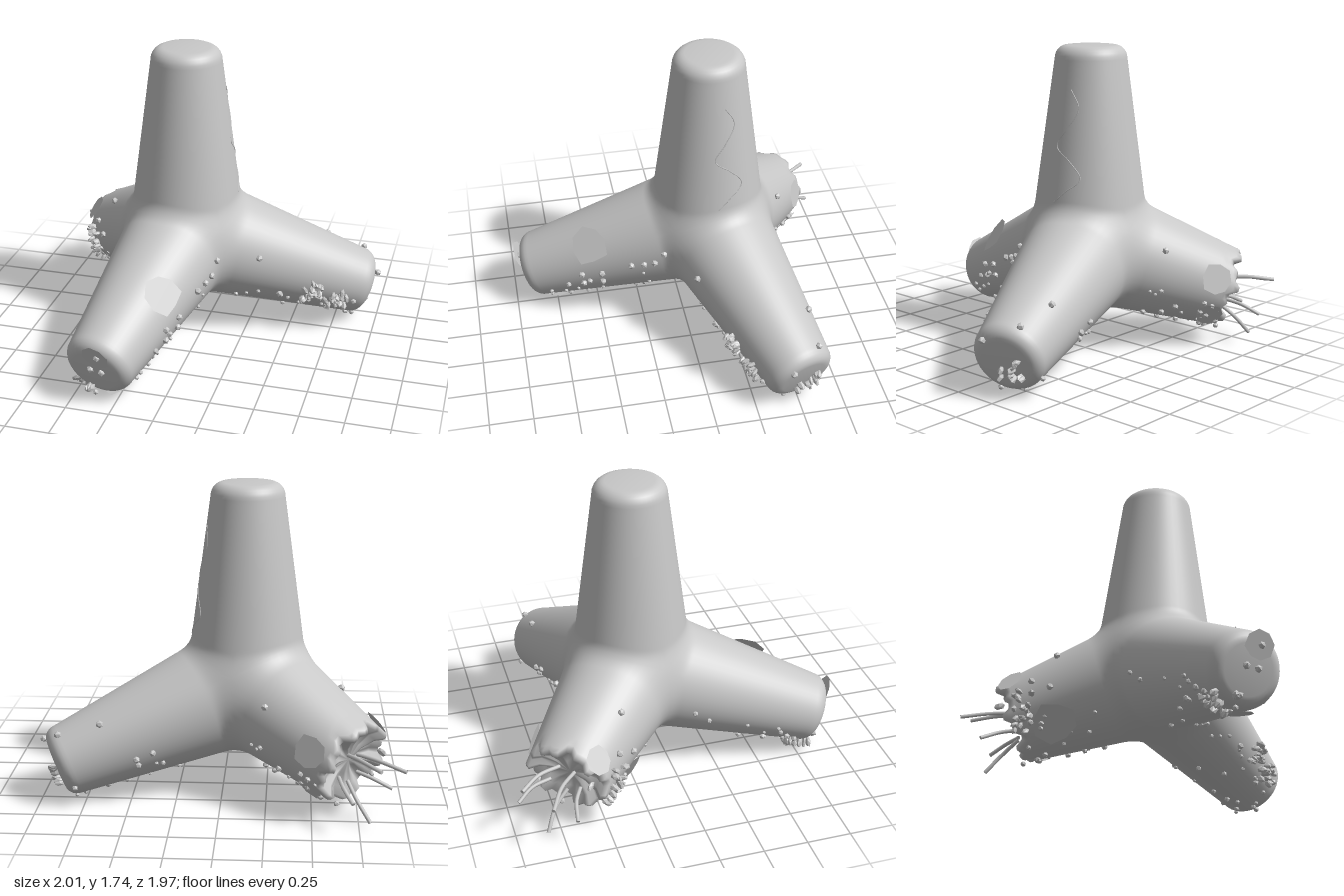
import * as THREE from 'three';
import { mergeGeometries, mergeVertices } from 'three/addons/utils/BufferGeometryUtils.js';

const V = (x, y, z) => new THREE.Vector3(x, y, z);
const CENTER = V(-0.13, 0.6, -0.168);
const SEG = 48, BLEND = 0.055;

let seed = 7;
const rand = () => (seed = (seed * 16807) % 2147483647) / 2147483647;
const spread = (a) => (rand() * 2 - 1) * a;

// Four tapering arms at tetrahedral angles; the last one is snapped off
const legDir = (deg) => {
  const t = THREE.MathUtils.degToRad(deg), h = Math.sqrt(8) / 3;
  return V(h * Math.cos(t), -1 / 3, h * Math.sin(t));
};
const arms = [
  { dir: V(0, 1, 0), len: 1.145 },
  { dir: legDir(101.8), len: 1.165 },
  { dir: legDir(-18.2), len: 1.17 },
  { dir: legDir(221.8), len: 0.86, broken: true },
];

// Signed distance to the smoothly blended arms (p relative to the centre)
function field(p) {
  let d = 10;
  for (const { dir, len } of arms) {
    const s = p.dot(dir);
    const perp = Math.sqrt(Math.max(p.lengthSq() - s * s, 0));
    const c = s < 0 ? p.length() - 0.35 : Math.max(perp - 0.35 + 0.135 * s, s - len);
    const h = Math.max(BLEND - Math.abs(c - d), 0) / BLEND;
    d = Math.min(c, d) - h * h * BLEND / 4;
  }
  return d;
}

function normalAt(p) {
  const e = 0.002, g = (v) => field(p.clone().add(v)) - field(p.clone().sub(v));
  return V(g(V(e, 0, 0)), g(V(0, e, 0)), g(V(0, 0, e))).normalize();
}

// Nearest surface point and its normal
function snap(x, y, z) {
  const p = V(x, y, z).sub(CENTER);
  for (let i = 0; i < 12; i++) p.addScaledVector(normalAt(p), -field(p) * 0.8);
  return { point: p.clone().add(CENTER), normal: normalAt(p) };
}

function armGeometry(arm) {
  const { dir: a, broken } = arm, others = arms.filter((o) => o !== arm);
  const U = others[0].dir.clone().addScaledVector(a, 1 / 3).normalize();
  const W = a.clone().cross(U);
  const bevel = broken ? 0.03 : 0.075, end = arm.len - bevel;
  const rings = [], N = 36;
  const radial = (j) => {
    const f = (j / SEG) * Math.PI * 2;
    return U.clone().multiplyScalar(Math.cos(f)).addScaledVector(W, Math.sin(f));
  };
  const jag = (j) => 0.025 * Math.sin(j * Math.PI / 4) + 0.02 * Math.sin(j * Math.PI * 7 / 12 + 1);
  // Side rings, starting on the seam shared with the neighbouring arms
  for (let i = 0; i <= N; i++) {
    const s = (i / N) * end, w = THREE.MathUtils.smoothstep(s, 0, 0.4);
    rings.push(Array.from({ length: SEG }, (_, j) => {
      const e = radial(j), m = Math.max(...others.map((o) => e.dot(o.dir)));
      const seam = a.clone().multiplyScalar(m).addScaledVector(e, 4 / 3).normalize();
      const d = seam.lerp(e, w).normalize();
      const p = a.clone().multiplyScalar(s);
      for (let k = 0; k < 80; k++) p.addScaledVector(d, -field(p) * 0.7);
      return broken ? p.addScaledVector(a, jag(j) * Math.max(0, i - N + 4) / 4) : p;
    }));
  }
  // End cap: rounded rim, or a jagged hollow on the broken leg
  const cap = broken ? [[0.9, 0.015], [0.72, -0.02], [0.4, -0.035], [0, -0.03]]
    : [...[1, 2, 3, 4, 5, 6].map((k) => {
      const t = (k / 6) * Math.PI / 2;
      return [1 - 0.34 * (1 - Math.cos(t)), bevel * Math.sin(t)];
    }), [0.4, bevel + 0.004], [0, bevel + 0.006]];
  const last = rings[N];
  for (const [f, ds] of cap) rings.push(last.map((p) => {
    const s = p.dot(a);
    return p.clone().addScaledVector(a, -s).multiplyScalar(f).addScaledVector(a, end + (s - end) * f + ds);
  }));
  const pos = [], idx = [];
  rings.forEach((r) => r.forEach((p) => pos.push(...p.clone().add(CENTER).toArray())));
  for (let i = 0; i < rings.length - 1; i++) for (let j = 0; j < SEG; j++) {
    const k = (j + 1) % SEG, b = i * SEG, c = b + SEG;
    idx.push(b + j, b + k, c + k, b + j, c + k, c + j);
  }
  const g = new THREE.BufferGeometry();
  g.setAttribute('position', new THREE.Float32BufferAttribute(pos, 3));
  g.setIndex(idx);
  return g;
}

// Place a geometry whose +y axis points away from the surface
function orient(g, point, normal, twist = 0) {
  g.rotateY(twist);
  g.applyQuaternion(new THREE.Quaternion().setFromUnitVectors(V(0, 1, 0), normal));
  return g.translate(point.x, point.y, point.z);
}

export function createModel() {
  const group = new THREE.Group();
  const concrete = new THREE.MeshStandardMaterial({ color: 0xc8c8c8, side: THREE.DoubleSide });
  const add = (name, geometry) => {
    const m = new THREE.Mesh(geometry, concrete);
    m.name = name;
    group.add(m);
  };

  // Concrete body
  const body = mergeVertices(mergeGeometries(arms.map(armGeometry)), 1e-4);
  body.computeVertexNormals();
  add('concreteBody', body);

  // Flat irregular chips: position, radius
  const chips = [
    [-0.08, 0.53, 0.55, 0.125], [-0.33, 0.33, 0.96, 0.085], [-0.66, 0.24, -0.36, 0.13],
    [-0.8, 0.46, -0.57, 0.08], [-0.5, 0.42, -0.8, 0.1], [-0.52, 0.24, -0.74, 0.09],
    [-0.29, 0.04, 0.74, 0.1],
  ].map(([x, y, z, r]) => {
    const { point, normal } = snap(x, y, z);
    const shape = new THREE.Shape(Array.from({ length: 8 }, (_, k) => {
      const q = r * (0.92 + spread(0.13)), t = (k / 8) * Math.PI * 2;
      return new THREE.Vector2(q * Math.cos(t), q * Math.sin(t));
    }));
    return orient(new THREE.ShapeGeometry(shape).rotateX(-Math.PI / 2),
      point.addScaledVector(normal, 0.01), normal);
  });
  add('chippedFaces', mergeGeometries(chips));

  // Barnacles: marked ones, then a scatter over the lower legs
  const barnacles = [];
  const barnacle = (x, y, z, r) => {
    const { point, normal } = snap(x, y, z);
    barnacles.push(orient(new THREE.IcosahedronGeometry(r, 0), point.addScaledVector(normal, r * 0.4), normal, rand() * 6));
  };
  [
    [-0.32, 0.33, 0.97], [-0.38, 0.22, 0.93], [-0.31, 0.22, 0.93], [-0.12, 0.3, 0.58], [-0.12, 0.35, 0.58],
    [-0.08, 0.33, 0.47], [-0.07, 0.38, 0.47], [0, 0.46, 0.3], [0.03, 0.48, 0.23], [0.08, 0.5, 0.18],
    [0.12, 0.57, 0.13], [0.43, 0.33, -0.2], [0.3, 0.52, -0.1], [0.97, 0.34, -0.42], [0.66, 0.5, -0.62],
    [0.9, 0.45, -0.62], [-0.25, 0.6, -0.62], [-0.58, 0.57, -0.4], [-0.74, 0.45, -0.45], [-0.66, 0.42, -0.38],
  ].forEach(([x, y, z]) => barnacle(x, y, z, 0.021));
  for (const { dir, len } of arms.slice(1)) for (let k = 0; k < 32; k++) {
    const p = dir.clone().multiplyScalar(0.3 + rand() * (len - 0.38)).add(CENTER);
    const t = rand() * Math.PI * 2, side = V(-dir.z, 0, dir.x).normalize();
    p.addScaledVector(side, 0.28 * Math.cos(t));
    p.y += -0.05 - 0.22 * Math.abs(Math.sin(t));
    barnacle(p.x, p.y, p.z, 0.011 + rand() * 0.009);
  }
  add('barnacles', mergeGeometries(barnacles));

  // Mussel clusters: centre, half extents, count
  const mussels = [];
  for (const [x, y, z, a, b, c, n] of [
    [0.65, 0.28, -0.12, 0.08, 0.08, 0.04, 14], [0.77, 0.19, -0.19, 0.09, 0.08, 0.04, 16],
    [-0.8, 0.3, -0.48, 0.06, 0.1, 0.1, 18], [-0.43, 0.07, 0.78, 0.08, 0.03, 0.09, 16],
    [0.94, 0.16, -0.54, 0.03, 0.06, 0.07, 10],
  ]) for (let k = 0; k < n; k++) {
    const { point, normal } = snap(x + spread(a), y + spread(b), z + spread(c));
    const g = new THREE.IcosahedronGeometry(1, 0).scale(0.014, 0.035, 0.021);
    const lean = normal.clone().add(V(spread(0.4), spread(0.4), spread(0.4))).normalize();
    mussels.push(orient(g, point.addScaledVector(normal, 0.018), lean, rand() * 6));
  }
  add('mussels', mergeGeometries(mussels));

  // Bent reinforcing bars at the broken end: root, tip
  [
    [[-0.69, 0.38, -0.73], [-0.85, 0.38, -0.965]],
    [[-0.64, 0.27, -0.77], [-0.71, 0.2, -0.965]],
    [[-0.74, 0.36, -0.66], [-0.99, 0.33, -0.83]],
    [[-0.69, 0.22, -0.69], [-0.81, 0.04, -0.83]],
    [[-0.74, 0.25, -0.63], [-0.93, 0.18, -0.69]],
  ].forEach(([r, t], i) => {
    const A = V(...r), B = V(...t), mid = A.clone().lerp(B, 0.5).add(V(0.012, 0.015, -0.012));
    const curve = new THREE.CatmullRomCurve3([A, mid, B]);
    const tip = orient(new THREE.CircleGeometry(0.011, 8).rotateX(-Math.PI / 2), B, curve.getTangent(1));
    add('reinforcingBar' + (i + 1), mergeGeometries([new THREE.TubeGeometry(curve, 10, 0.011, 8), tip]));
  });

  // Wavy crack down the side of the upper arm
  const wave = new THREE.CatmullRomCurve3([[1.52, -0.23], [1.42, -0.3], [1.3, -0.22], [1.2, -0.155],
    [1.12, -0.25], [1.03, -0.33], [0.95, -0.24], [0.88, -0.17]].map(([y, z]) => V(0.15, y, z)));
  const line = wave.getPoints(40).map((p) => snap(p.x, p.y, p.z).point);
  add('crack', new THREE.TubeGeometry(new THREE.CatmullRomCurve3(line), 80, 0.003, 5));
  return group;
}
